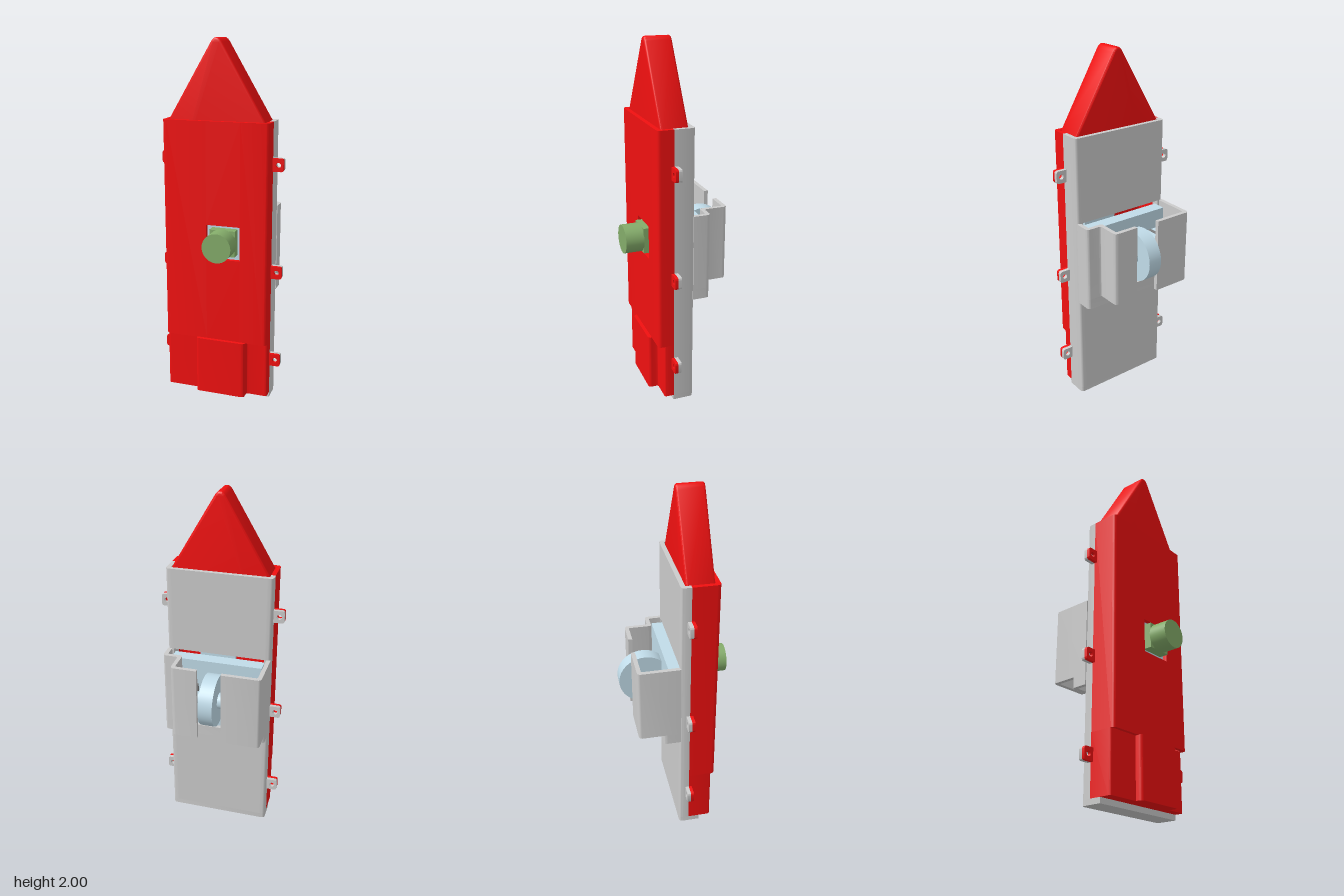
import * as THREE from 'three';
import { toCreasedNormals } from 'three/addons/utils/BufferGeometryUtils.js';

const mat = (color) => new THREE.MeshStandardMaterial({ color });

// polygon whose corners [x, y, radius] may be rounded
function roundedShape(pts) {
  const s = new THREE.Shape();
  const n = pts.length;
  const toward = (p, q, r) => {
    const d = Math.hypot(q[0] - p[0], q[1] - p[1]);
    return [p[0] + ((q[0] - p[0]) * r) / d, p[1] + ((q[1] - p[1]) * r) / d];
  };
  pts.forEach((p, i) => {
    const r = p[2] || 0;
    const a = toward(p, pts[(i + n - 1) % n], r);
    const b = toward(p, pts[(i + 1) % n], r);
    if (i === 0) s.moveTo(...a);
    else s.lineTo(...a);
    if (r) s.quadraticCurveTo(p[0], p[1], ...b);
  });
  s.closePath();
  return s;
}

export function createModel() {
  const model = new THREE.Group();
  model.name = 'device';
  const red = mat(0xf01010), grey = mat(0xcccccc), blue = mat(0xc0dbe8);
  const green = mat(0x84ac6a), dark = mat(0x7c7c7c);

  const add = (name, geo, m, parent = model) => {
    const mesh = new THREE.Mesh(geo, m);
    mesh.name = name;
    parent.add(mesh);
    return mesh;
  };
  // box given by its limits
  const box = (name, m, x0, x1, y0, y1, z0, z1) =>
    add(name, new THREE.BoxGeometry(x1 - x0, y1 - y0, z1 - z0)
      .translate((x0 + x1) / 2, (y0 + y1) / 2, (z0 + z1) / 2), m);
  // plan profile of [x, z, radius] raised from y0 to y1
  const prism = (name, m, pts, y0, y1) => {
    const shape = roundedShape(pts.map(([x, z, r]) => [x, -z, r]));
    const geo = new THREE.ExtrudeGeometry(shape, { depth: y1 - y0, bevelEnabled: false, curveSegments: 6 });
    geo.rotateX(-Math.PI / 2).translate(0, y0, 0);
    return add(name, toCreasedNormals(geo, 0.6), m);
  };
  // cylinder along x
  const axle = (name, r, x0, x1, y, z) =>
    add(name, new THREE.CylinderGeometry(r, r, x1 - x0, 48).rotateZ(Math.PI / 2)
      .translate((x0 + x1) / 2, y, z), blue);
  // L-shaped wall with a rounded outer corner, ending at inner x
  const corner = (name, m, xo, xi, zOut, zIn, zEnd, y0, y1) => {
    const t = xo - Math.sign(xo) * 0.024;
    prism(name, m, [[xo, zEnd], [xo, zOut, 0.022], [xi, zOut], [xi, zIn], [t, zIn, 0.004], [t, zEnd]], y0, y1);
  };

  const W = 0.294, TOP = 1.58;

  // front cover with a window for the button
  corner('frontCoverRight', red, -W, -0.05, 0.19, 0.166, 0.04, 0.355, TOP);
  corner('frontCoverLeft', red, W, 0.14, 0.19, 0.166, 0.1, 0.355, TOP);
  box('frontCoverUpper', red, -0.05, 0.14, 1.02, TOP, 0.166, 0.19);
  box('frontCoverLower', red, -0.05, 0.14, 0.355, 0.83, 0.166, 0.19);
  // lower grip section with its raised bump
  prism('lowerCover', red, [
    [-W, 0.04], [-W, 0.17, 0.015], [-0.11, 0.17], [-0.11, 0.21, 0.022],
    [0.175, 0.21, 0.02], [0.175, 0.155, 0.012], [W, 0.155, 0.015], [W, 0.1], [0.27, 0.1], [0.27, 0.04],
  ], 0.03, 0.357);

  // back cover around the mechanism opening, and the foot plate
  corner('backCoverRight', grey, -W, -0.26, -0.015, 0.01, 0.04, 0.03, TOP);
  corner('backCoverLeft', grey, W, 0.26, -0.015, 0.01, 0.1, 0.03, TOP);
  box('backCoverUpper', grey, -0.26, 0.26, 1.105, TOP, -0.015, 0.01);
  box('backCoverLower', grey, -0.26, 0.26, 0.03, 0.64, -0.015, 0.01);
  prism('footPlate', grey, [[-W, 0.104], [-W, -0.015, 0.022], [W, -0.015, 0.022], [W, 0.104]], 0, 0.03);

  // pointed tip
  const B = 0.012;
  const tip = new THREE.ExtrudeGeometry(
    roundedShape([[-0.256, 1.15], [-0.256, 1.575], [0, 2.007, 0.04], [0.256, 1.575], [0.256, 1.15]]),
    { depth: 0.151 - 2 * B, bevelThickness: B, bevelSize: B, bevelSegments: 3, curveSegments: 10 });
  add('tip', toCreasedNormals(tip.translate(0, 0, 0.013 + B), 0.6), red);

  // screw tabs: a red and a grey layer on each side
  const tabShape = roundedShape([[-0.005, -0.035], [0.061, -0.035, 0.015], [0.061, 0.035, 0.015], [-0.005, 0.035]]);
  tabShape.holes.push(new THREE.Path().absarc(0.032, 0, 0.014, 0, Math.PI * 2, true));
  const tabLayer = (name, m, side, y, z0, z1) => {
    const geo = new THREE.ExtrudeGeometry(tabShape, { depth: z1 - z0, bevelEnabled: false, curveSegments: 10 });
    if (side < 0) geo.rotateZ(Math.PI);
    add(name, toCreasedNormals(geo.translate(side * W, y, z0), 0.6), m);
  };
  for (const y of [1.355, 0.76, 0.24]) {
    for (const [side, seam] of [[-1, 0.039], [1, 0.098]]) {
      tabLayer('frontTab', red, side, y, seam, seam + 0.017);
      tabLayer('backTab', grey, side, y, seam - 0.02, seam);
    }
  }

  // housing behind the back cover, with a slot for the wheel
  prism('housingRight', grey, [
    [-W, -0.01], [-W, -0.244, 0.022], [-0.075, -0.244], [-0.075, -0.221], [-0.271, -0.221, 0.012], [-0.271, -0.01],
  ], 0.68, 1.105);
  prism('housingLeft', grey, [
    [W, -0.01], [W, -0.106, 0.022], [0.208, -0.106, 0.012], [0.208, -0.237, 0.022], [0.062, -0.237],
    [0.062, -0.214], [0.186, -0.214, 0.008], [0.186, -0.083, 0.016], [0.271, -0.083, 0.008], [0.271, -0.01],
  ], 0.68, 1.105);
  prism('housingLowerBand', grey, [
    [W, -0.01], [W, -0.106, 0.022], [-W, -0.106, 0.022], [-W, -0.01],
    [-0.271, -0.01], [-0.271, -0.083, 0.008], [0.271, -0.083, 0.008], [0.271, -0.01],
  ], 0.62, 0.68);

  // mechanism: board, wheel, axle, supports and a small switch
  const wy = 0.9, wz = -0.165;
  box('board', blue, -0.258, 0.257, 0.65, 1.08, -0.07, 0.005);
  axle('wheel', 0.145, -0.045, 0.034, wy, wz);
  axle('wheelHub', 0.044, -0.077, 0.066, wy, wz);
  axle('axleEnd', 0.035, 0.06, 0.135, wy, wz);
  axle('axlePin', 0.017, -0.115, -0.07, wy, wz);
  box('axleBracket', blue, -0.147, -0.111, 0.83, 0.97, -0.21, -0.07);
  box('sensorPlate', dark, -0.17, -0.147, 0.83, 0.97, -0.175, -0.07);
  box('sensorBody', blue, -0.228, -0.17, 0.83, 0.97, -0.175, -0.07);
  box('switchBody', dark, 0.1, 0.171, 0.865, 0.935, -0.107, -0.07);
  add('switchButton', new THREE.CylinderGeometry(0.02, 0.02, 0.02, 24).rotateX(Math.PI / 2)
    .translate(0.137, 0.9, -0.111), dark);

  // front push button on its base plate
  box('buttonPlate', blue, -0.06, 0.15, 0.82, 1.03, 0.13, 0.16);
  box('buttonStem', green, -0.024, 0.12, 0.858, 1.002, 0.155, 0.212);
  add('buttonCap', new THREE.CylinderGeometry(0.08, 0.08, 0.102, 48).rotateX(Math.PI / 2)
    .translate(0.048, 0.93, 0.261), green);

  return model;
}
